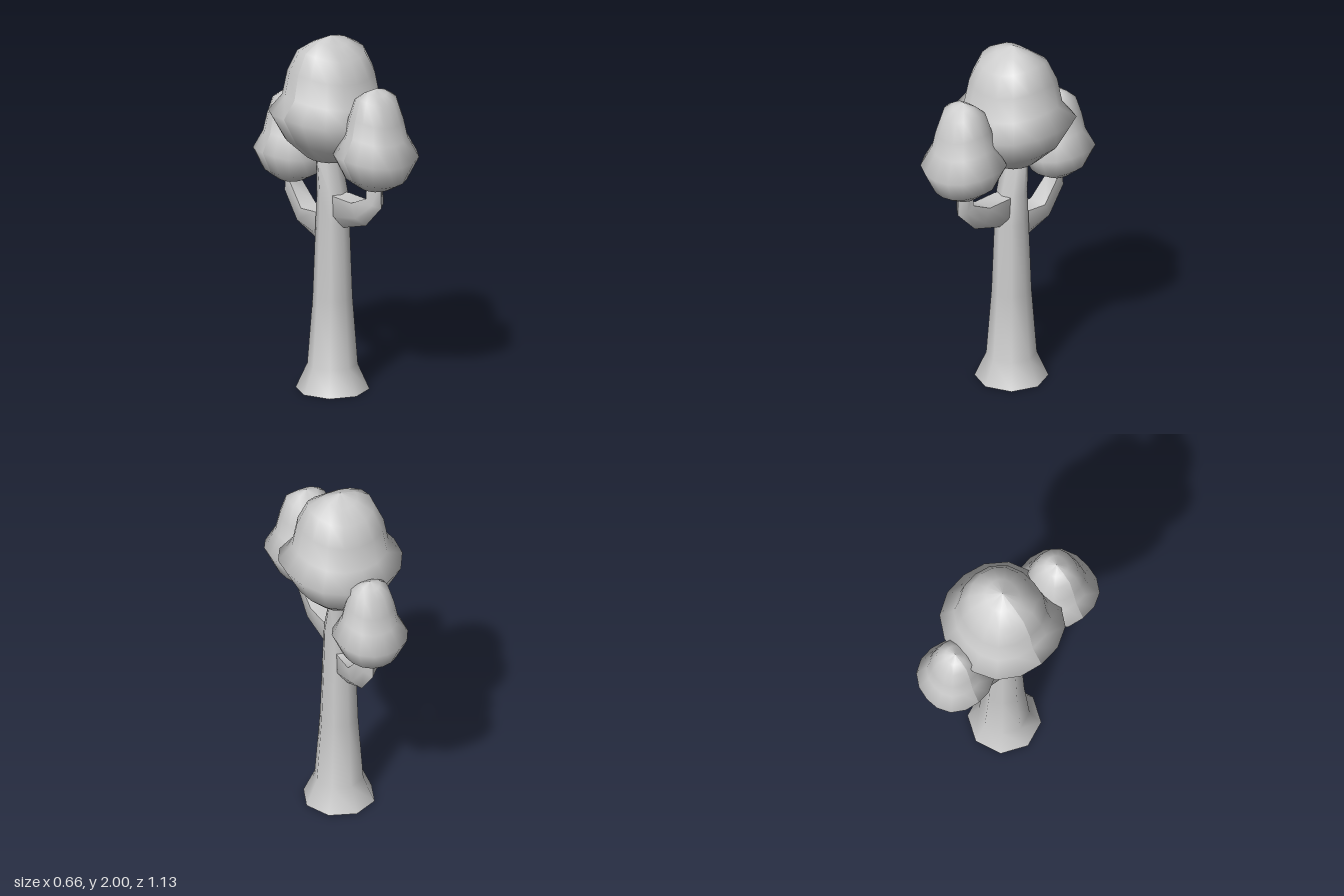
import * as THREE from 'three';
import { toCreasedNormals } from 'three/addons/utils/BufferGeometryUtils.js';

const material = new THREE.MeshStandardMaterial({ color: 0xcccccc });

// Crown profiles from bottom to top: [radius, height]
const fullBell = [[0, 0], [0.128, 0.01], [0.24, 0.105], [0.325, 0.262], [0.252, 0.355],
  [0.227, 0.49], [0.175, 0.605], [0.09, 0.66], [0, 0.695]];
const slimBell = [[0, 0], [0.12, 0.01], [0.235, 0.075], [0.325, 0.23], [0.24, 0.365],
  [0.21, 0.485], [0.16, 0.62], [0.085, 0.667], [0, 0.695]];

function part(name, geometry) {
  const mesh = new THREE.Mesh(geometry, material);
  mesh.name = name;
  return mesh;
}

// Lathe whose vertices are then moved by a rule
function turned(profile, sides, rule) {
  const points = profile.map(([r, y]) => new THREE.Vector2(r, y));
  const geometry = new THREE.LatheGeometry(points, sides, -Math.PI / 2);
  const p = geometry.attributes.position;
  const v = new THREE.Vector3();
  for (let i = 0; i < p.count; i++) {
    rule(v.fromBufferAttribute(p, i));
    p.setXYZ(i, v.x, v.y, v.z);
  }
  return geometry;
}

// Eight-sided trunk with flared foot; the top leans back and flattens a little
function makeTrunk() {
  const profile = [[0, 0], [0.2, 0], [0.137, 0.14], [0.108, 0.52], [0.092, 0.95],
    [0.078, 1.12], [0.058, 1.3], [0.055, 1.4], [0, 1.4]];
  const geometry = turned(profile, 8, v => {
    v.x *= 1 + 1.2 * Math.max(0, v.y - 1);
    v.z -= 0.02 + 0.16 * Math.max(0, v.y - 1.1);
  });
  return part('trunk', toCreasedNormals(geometry, 1));
}

// Lumpy crown: a bell profile whose rings rise toward the sides
function makeCrown(name, profile, bottom, z, scale) {
  const geometry = turned(profile, 16, v => {
    const r = Math.hypot(v.x, v.z);
    const a = 2 * Math.atan2(v.z, v.x);
    const swell = 1 + 0.02 * Math.cos(a) + 0.05 * Math.sin(a) ** 2;
    v.x *= swell;
    v.z *= swell;
    v.y += 0.02 * Math.cos(a) * Math.min(1, r / 0.15) * Math.min(1, v.y / 0.1);
  });
  geometry.computeVertexNormals();
  const mesh = part(name, geometry);
  mesh.position.set(0, bottom, z);
  mesh.scale.set(...scale);
  return mesh;
}

// Five-sided branch; each ring is [top z, top y, bottom z, bottom y, half width]
function makeBranch(name, rings) {
  const outline = [[1, 0], [1, 0.62], [0, 1], [-1, 0.62], [-1, 0]];
  const n = outline.length;
  const forward = rings[1][0] > 0;
  const positions = [];
  const index = [];
  for (const [tz, ty, bz, by, w] of rings) {
    for (const [s, t] of outline) {
      positions.push(s * w, ty + (by - ty) * t, tz + (bz - tz) * t);
    }
  }
  for (let i = 0; i < rings.length - 1; i++) {
    for (let j = 0; j < n; j++) {
      const a = i * n + j, b = i * n + (j + 1) % n;
      const c = a + n, d = b + n;
      if (forward) index.push(a, c, b, b, c, d);
      else index.push(a, b, c, b, d, c);
    }
  }
  const geometry = new THREE.BufferGeometry();
  geometry.setAttribute('position', new THREE.Float32BufferAttribute(positions, 3));
  geometry.setIndex(index);
  return part(name, toCreasedNormals(geometry, 1.1));
}

export function createModel() {
  const tree = new THREE.Group();
  tree.name = 'tree';
  tree.add(
    makeTrunk(),
    makeBranch('frontBranch', [
      [0.01, 1.115, 0.01, 0.93, 0.04],
      [0.055, 1.115, 0.065, 0.93, 0.056],
      [0.2, 1.115, 0.26, 0.99, 0.055],
      [0.31, 1.165, 0.39, 1.12, 0.042],
      [0.31, 1.27, 0.385, 1.27, 0.035],
    ]),
    makeBranch('backBranch', [
      [-0.05, 0.99, -0.05, 0.8, 0.04],
      [-0.1, 0.99, -0.115, 0.8, 0.056],
      [-0.22, 0.98, -0.275, 0.86, 0.055],
      [-0.33, 1.1, -0.4, 1.01, 0.042],
      [-0.328, 1.15, -0.402, 1.15, 0.035],
    ]),
    makeCrown('topCrown', fullBell, 1.305, -0.033, [1, 1, 1]),
    makeCrown('frontCrown', slimBell, 1.222, 0.345, [0.68, 0.818, 0.69]),
    makeCrown('backCrown', slimBell, 1.1, -0.365, [0.61, 0.75, 0.62]),
  );
  return tree;
}
